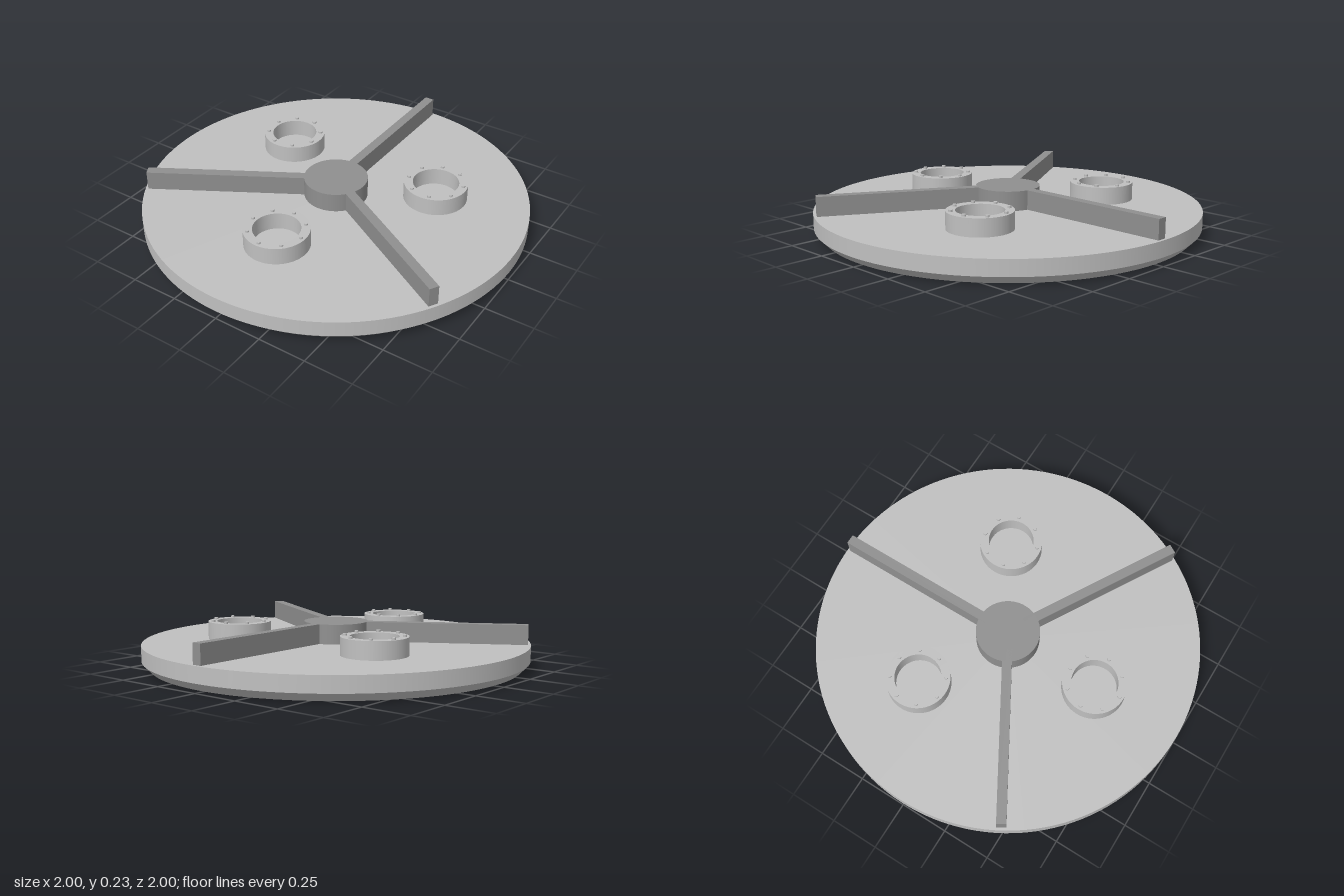
import * as THREE from 'three';

const plateMat = new THREE.MeshStandardMaterial({ color: 0xc0c0c0 });
plateMat.name = 'light grey';
const ribMat = new THREE.MeshStandardMaterial({ color: 0x8f8f8f });
ribMat.name = 'dark grey';

const BASE = 0.005, TOP = 0.126, RIB_TOP = 0.227, RING_TOP = 0.217;

function add(parent, name, geometry, material, x = 0, y = 0, z = 0) {
  const mesh = new THREE.Mesh(geometry, material);
  mesh.name = name;
  mesh.position.set(x, y, z);
  parent.add(mesh);
  return mesh;
}

// Cylinder standing between two heights
function disc(rTop, rBottom, y0, y1, segments, open = false) {
  return new THREE.CylinderGeometry(rTop, rBottom, y1 - y0, segments, 1, open).translate(0, (y0 + y1) / 2, 0);
}

export function createModel() {
  const model = new THREE.Group();
  model.name = 'coverPlate';

  // Round plate: straight rim, chamfered lower edge, flat faces
  const plate = new THREE.Group();
  plate.name = 'plate';
  model.add(plate);
  add(plate, 'rim', disc(1, 1, 0.045, TOP, 128, true), plateMat);
  add(plate, 'chamfer', disc(1, 0.96, BASE, 0.045, 128, true), plateMat);
  add(plate, 'topFace', new THREE.CircleGeometry(1, 128).rotateX(-Math.PI / 2), plateMat, 0, TOP);
  add(plate, 'bottomFace', new THREE.CircleGeometry(0.96, 128).rotateX(Math.PI / 2), plateMat, 0, BASE);

  // Central hub
  add(model, 'hub', disc(0.165, 0.165, TOP - 0.01, RIB_TOP, 64), ribMat);

  // Flange ring passing through the plate, open in the middle
  const ringShape = new THREE.Shape().absarc(0, 0, 0.165, 0, Math.PI * 2, false);
  ringShape.holes.push(new THREE.Path().absarc(0, 0, 0.119, 0, Math.PI * 2, true));
  const ringGeo = new THREE.ExtrudeGeometry(ringShape, { depth: RING_TOP, bevelEnabled: false, curveSegments: 64 })
    .rotateX(-Math.PI / 2);
  const boltGeo = disc(0.01, 0.01, RING_TOP - 0.005, RIB_TOP, 16);
  const ribGeo = new THREE.BoxGeometry(0.05, RIB_TOP - TOP + 0.01, 0.885);

  for (let k = 0; k < 3; k++) {
    const sector = new THREE.Group();
    sector.name = 'sector' + (k + 1);
    sector.rotation.y = (k * Math.PI * 2) / 3;
    model.add(sector);

    // Radial rib
    add(sector, 'rib', ribGeo, ribMat, 0, (RIB_TOP + TOP - 0.01) / 2, -0.985 + 0.885 / 2);

    // Flange with eight bolts, opposite the rib
    const flange = new THREE.Group();
    flange.name = 'flange';
    flange.position.z = 0.515;
    sector.add(flange);
    add(flange, 'flangeRing', ringGeo, plateMat);
    for (let i = 0; i < 8; i++) {
      // bolts keep the same orientation in every sector
      const a = (i * Math.PI) / 4 - sector.rotation.y;
      add(flange, 'bolt', boltGeo, plateMat, 0.143 * Math.cos(a), 0, 0.143 * Math.sin(a));
    }
  }
  return model;
}
